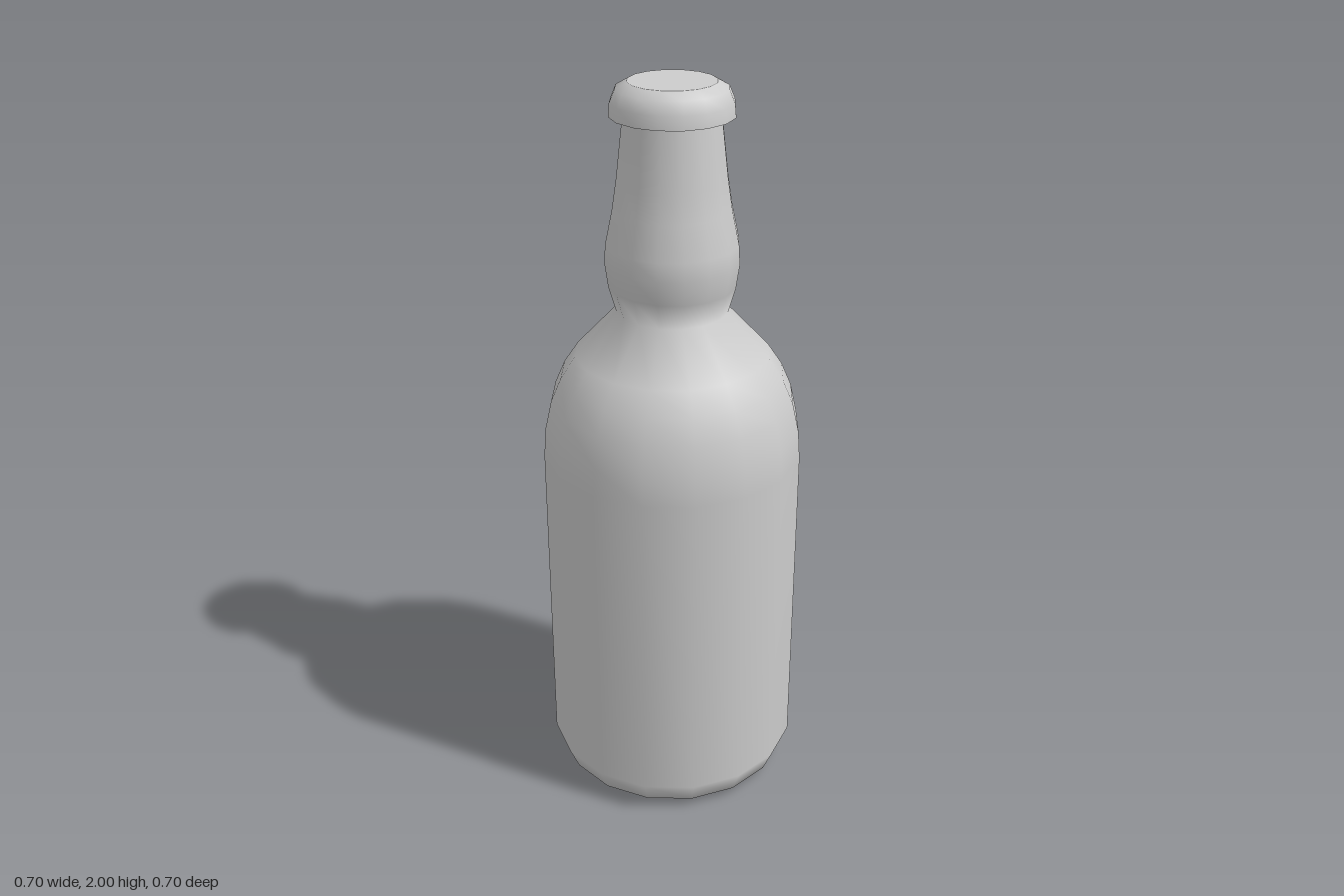
import * as THREE from 'three';

const SIDES = 16;

export function createModel() {
  const group = new THREE.Group();
  group.name = 'bottle';
  const grey = new THREE.MeshStandardMaterial({ color: 0xcccccc, side: THREE.DoubleSide });
  grey.name = 'plain grey';

  // Turned part from [radius, height] pairs, listed bottom to top
  const turned = (name, profile) => {
    const points = profile.map(([r, y]) => new THREE.Vector2(r, y));
    const mesh = new THREE.Mesh(new THREE.LatheGeometry(points, SIDES), grey);
    mesh.name = name;
    group.add(mesh);
  };

  // Body with bevelled foot and rounded shoulder, flowing into the bulged neck
  turned('glassBody', [
    [0, 0], [0.26, 0.003], [0.325, 0.027], [0.352, 0.09],
    [0.352, 1.0], [0.346, 1.08], [0.328, 1.16], [0.3, 1.225], [0.26, 1.285],
    [0.148, 1.405], [0.168, 1.475], [0.177, 1.54], [0.174, 1.59],
    [0.155, 1.68], [0.143, 1.76], [0.125, 1.92], [0.121, 1.96],
  ]);

  // Hollow cap skirt with rounded upper edge
  turned('capSkirt', [
    [0.16, 1.916], [0.157, 1.95], [0.143, 1.983], [0.113, 2.0],
  ]);

  // Flat cap top
  const top = new THREE.Mesh(new THREE.CircleGeometry(0.113, SIDES), grey);
  top.name = 'capTop';
  top.rotation.x = -Math.PI / 2;
  top.position.y = 2;
  group.add(top);

  return group;
}
